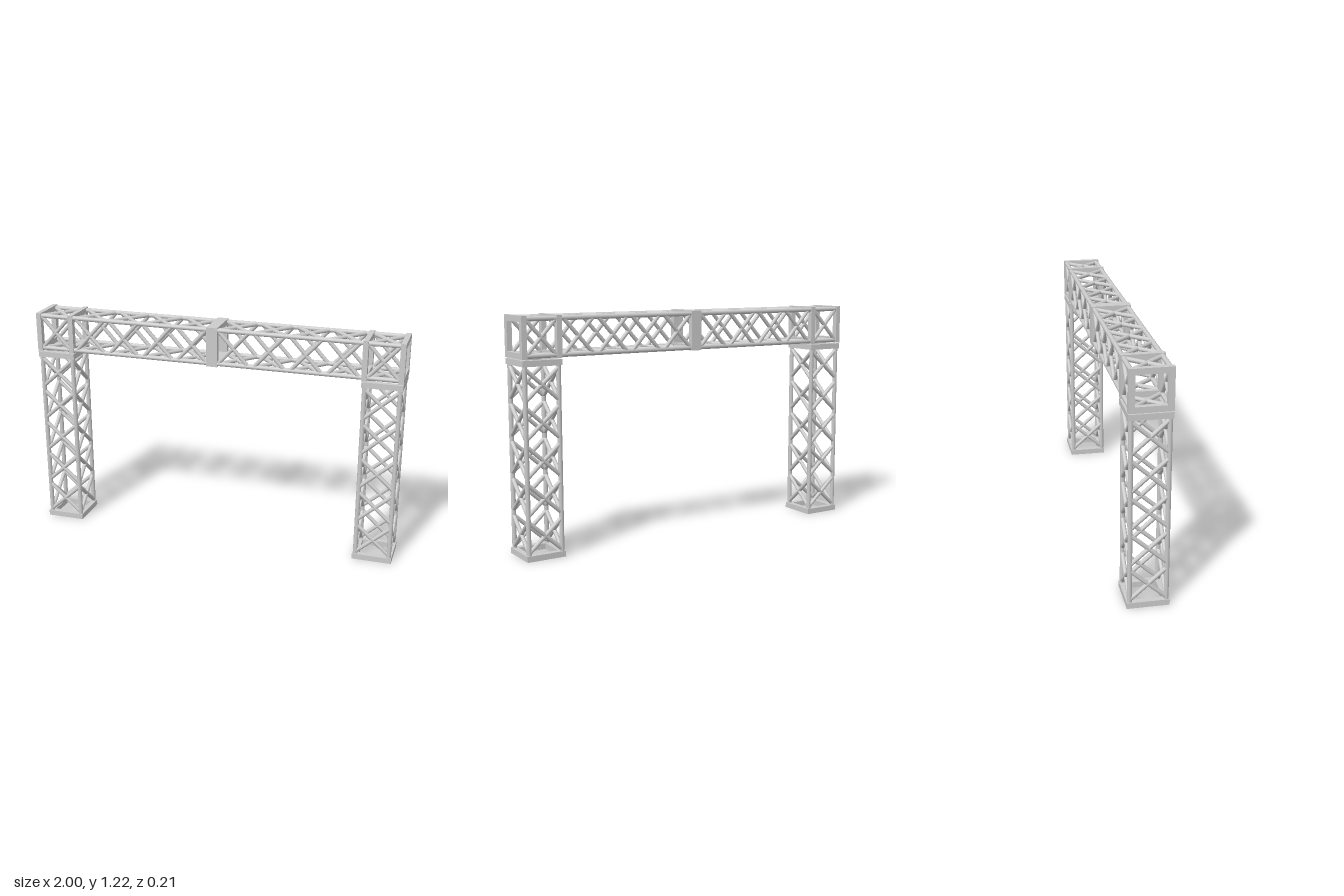
import * as THREE from 'three';

const material = new THREE.MeshStandardMaterial({ color: 0xcccccc });
const HALF = 0.105;   // half width of the square frames
const CHORD = 0.09;   // offset of the main tubes from the truss axis
const BAR = 0.03;     // frame bar width
const BEAM_Y = 1.11;
const LEG_X = 0.893;

function add(parent, geometry, name) {
  const mesh = new THREE.Mesh(geometry, material);
  mesh.name = name;
  parent.add(mesh);
  return mesh;
}

// Round tube between two points
function tube(parent, a, b, radius, name) {
  const start = new THREE.Vector3(...a), end = new THREE.Vector3(...b);
  const dir = end.clone().sub(start);
  const mesh = add(parent, new THREE.CylinderGeometry(radius, radius, dir.length(), 12), name);
  mesh.position.copy(start).add(end).multiplyScalar(0.5);
  mesh.quaternion.setFromUnitVectors(new THREE.Vector3(0, 1, 0), dir.normalize());
}

// Square frame with an open middle, standing across the truss (local y) axis
function squareFrame(parent, y, thickness, name) {
  const shape = new THREE.Shape();
  shape.moveTo(-HALF, -HALF).lineTo(HALF, -HALF).lineTo(HALF, HALF).lineTo(-HALF, HALF).closePath();
  const h = HALF - BAR;
  const hole = new THREE.Path();
  hole.moveTo(-h, -h).lineTo(-h, h).lineTo(h, h).lineTo(h, -h).closePath();
  shape.holes.push(hole);
  const geometry = new THREE.ExtrudeGeometry(shape, { depth: thickness, bevelEnabled: false });
  geometry.translate(0, 0, -thickness / 2).rotateX(Math.PI / 2);
  add(parent, geometry, name).position.y = y;
}

// Four long tubes along local y
function chords(parent, from, to, name) {
  for (const x of [-CHORD, CHORD])
    for (const z of [-CHORD, CHORD]) tube(parent, [x, from, z], [x, to, z], 0.012, name);
}

// Crossed braces on all four sides of one bay
function crossBay(parent, y, halfHeight) {
  const bay = new THREE.Group();
  bay.name = 'crossBraces';
  for (let i = 0; i < 4; i++) {
    const side = new THREE.Group();
    side.name = 'bracePair';
    side.rotation.y = i * Math.PI / 2;
    for (const s of [-1, 1])
      tube(side, [-s * CHORD, -halfHeight, CHORD], [s * CHORD, halfHeight, CHORD], 0.0105, 'brace');
    bay.add(side);
  }
  bay.position.y = y;
  parent.add(bay);
}

// Upright truss with a frame at foot and head
function leg(name) {
  const group = new THREE.Group();
  group.name = name;
  squareFrame(group, 0.015, 0.03, 'footFrame');
  squareFrame(group, 0.985, 0.03, 'headFrame');
  chords(group, 0.01, 0.99, 'post');
  for (let i = 0; i < 5; i++) crossBay(group, 0.12 + i * 0.19, 0.08);
  return group;
}

// Horizontal truss, built upright and then laid along x
function beam() {
  const group = new THREE.Group();
  group.name = 'beam';
  chords(group, -0.99, 0.99, 'chord');
  squareFrame(group, 0, 0.06, 'middleFrame');
  for (const s of [-1, 1]) {
    squareFrame(group, s * 0.986, 0.027, 'endFrame');
    squareFrame(group, s * 0.8, 0.027, 'cornerFrame');
    for (let i = 0; i < 4; i++) crossBay(group, s * (0.112 + i * 0.193), 0.082);
    crossBay(group, s * LEG_X, 0.082);
  }
  group.rotation.z = -Math.PI / 2;
  group.position.y = BEAM_Y;
  return group;
}

export function createModel() {
  const model = new THREE.Group();
  model.name = 'trussGate';
  const left = leg('leftLeg');
  left.position.x = LEG_X;
  const right = leg('rightLeg');
  right.position.x = -LEG_X;
  model.add(left, right, beam());
  return model;
}
